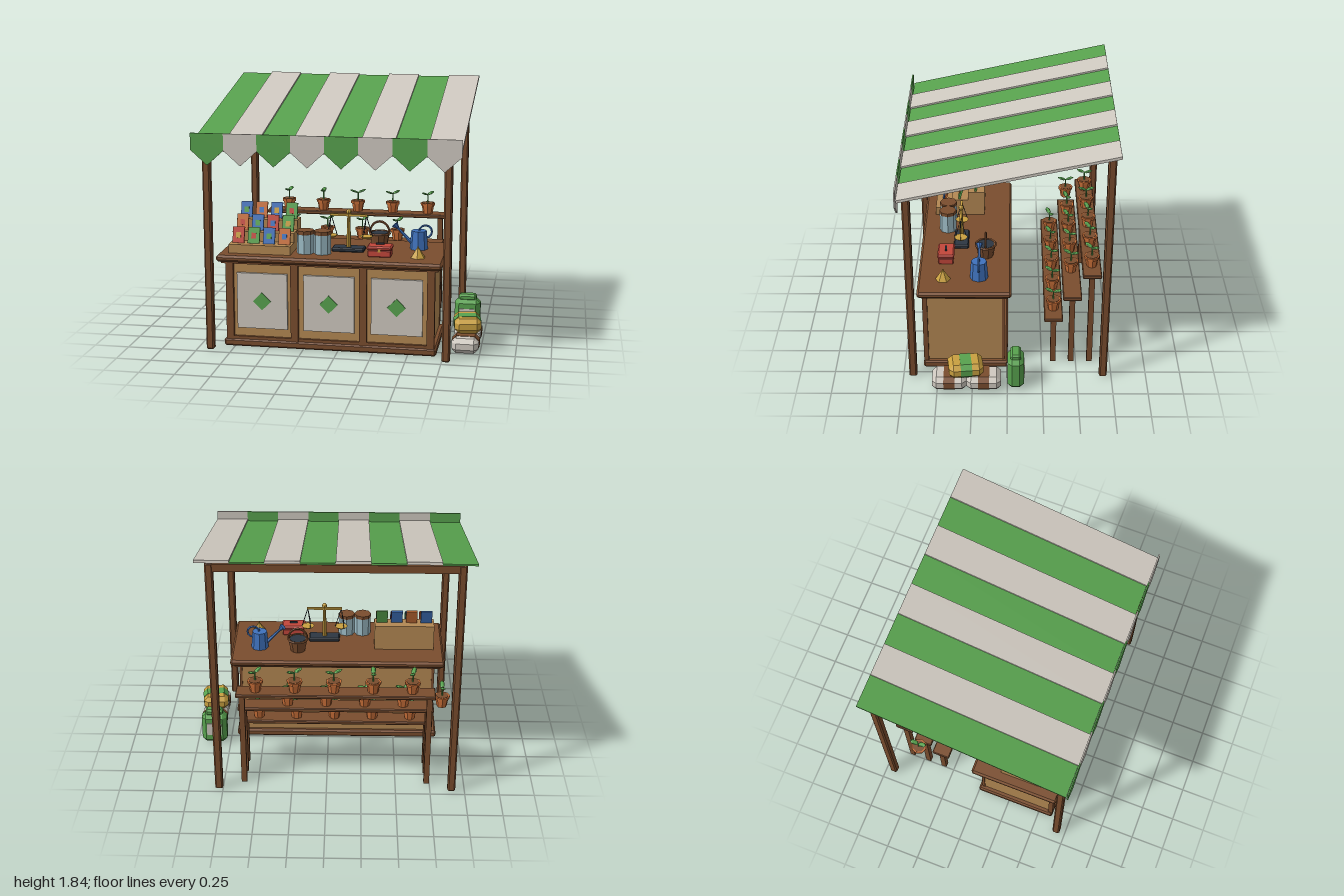
import * as THREE from 'three';
import { ConvexGeometry } from 'three/addons/geometries/ConvexGeometry.js';

const mat = (name, color, side = THREE.FrontSide) => {
  const m = new THREE.MeshStandardMaterial({ color, side, flatShading: true });
  m.name = name;
  return m;
};

export function createModel() {
  const green = mat('leaf green', 0x58a24e), cream = mat('cream canvas', 0xcfc9c0);
  const brown = mat('dark timber', 0x7a4d2e), wood = mat('light wood', 0xb38853);
  const clay = mat('terracotta', 0xc96f38), blue = mat('blue', 0x3f72bd);
  const red = mat('red', 0xc2473b), gold = mat('gold', 0xc9a040);
  const glass = mat('pale jar glass', 0x9bbac4), slate = mat('slate', 0x2d3742);

  const root = new THREE.Group();
  root.name = 'gardenStall';
  const group = (name, x = 0, y = 0, z = 0, parent = root) => {
    const g = new THREE.Group();
    g.name = name;
    g.position.set(x, y, z);
    parent.add(g);
    return g;
  };
  const add = (name, geo, m, x, y, z, parent = root) => {
    const o = new THREE.Mesh(geo, m);
    o.name = name;
    o.position.set(x, y, z);
    parent.add(o);
    return o;
  };
  const box = (name, w, h, d, m, x, y, z, parent) => add(name, new THREE.BoxGeometry(w, h, d), m, x, y, z, parent);
  const cyl = (name, rt, rb, h, n, m, x, y, z, parent) => add(name, new THREE.CylinderGeometry(rt, rb, h, n), m, x, y, z, parent);
  // Box with every edge cut off by c
  const bevel = (w, h, d, c) => {
    const half = [w / 2, h / 2, d / 2], pts = [];
    for (const sx of [-1, 1]) for (const sy of [-1, 1]) for (const sz of [-1, 1])
      for (let k = 0; k < 3; k++) {
        const p = half.map((v, i) => (i === k ? v : v - c));
        pts.push(new THREE.Vector3(p[0] * sx, p[1] * sy, p[2] * sz));
      }
    return new ConvexGeometry(pts);
  };
  const bev = (name, w, h, d, c, m, x, y, z, parent) => add(name, bevel(w, h, d, c), m, x, y, z, parent);
  // Straight bar between two points
  const rod = (name, a, b, r1, r2, m, parent, n = 6) => {
    const A = new THREE.Vector3(...a), B = new THREE.Vector3(...b), dir = B.clone().sub(A);
    const mid = A.clone().add(B).multiplyScalar(0.5);
    const o = cyl(name, r2, r1, dir.length(), n, m, mid.x, mid.y, mid.z, parent);
    o.quaternion.setFromUnitVectors(new THREE.Vector3(0, 1, 0), dir.normalize());
    return o;
  };
  const CX = -0.063;

  // Posts and beams
  for (const s of [-1, 1]) {
    bev('frontPost', 0.056, 1.49, 0.056, 0.01, brown, CX + s * 0.842, 0.745, 0.68);
    bev('backPost', 0.056, 1.8, 0.056, 0.01, brown, CX + s * 0.842, 0.9, -0.69);
  }
  box('frontBeam', 1.7, 0.055, 0.05, brown, CX, 1.463, 0.68);
  box('backBeam', 1.7, 0.055, 0.05, brown, CX, 1.768, -0.69);

  // Striped awning with pointed valance
  const awning = group('awning', 0, 1.66, -0.005);
  awning.rotation.x = 0.2195;
  const W = 1.873 / 8;
  const flap = new THREE.Shape([[-W / 2, 1.568], [-W / 2, 1.45], [0, 1.345], [W / 2, 1.45], [W / 2, 1.568]].map(p => new THREE.Vector2(...p)));
  const flapGeo = new THREE.ExtrudeGeometry(flap, { depth: 0.01, bevelEnabled: false });
  for (let i = 0; i < 8; i++) {
    const x = -1 + W * (i + 0.5), odd = i % 2;
    box('awningStripe', W, odd ? 0.02 : 0.012, 1.517, odd ? cream : green, x, odd ? 0.002 : -0.006, 0, awning);
    add('valanceFlap', flapGeo, odd ? cream : green, x, 0, 0.74);
  }

  // Counter
  bev('counterPlinth', 1.53, 0.055, 0.61, 0.012, brown, CX, 0.03, 0.303);
  box('counterBody', 1.46, 0.58, 0.55, wood, CX, 0.34, 0.303);
  box('topTrim', 1.55, 0.02, 0.61, brown, CX - 0.003, 0.625, 0.303);
  bev('counterTop', 1.61, 0.047, 0.67, 0.015, brown, -0.067, 0.655, 0.305);
  box('bottomRail', 1.48, 0.025, 0.02, brown, CX, 0.065, 0.588);
  for (const x of [-0.781, -0.311, 0.181, 0.661]) box('counterUpright', 0.054, 0.575, 0.035, brown, x, 0.342, 0.588);
  for (const s of [-1, 1]) box('backUpright', 0.02, 0.575, 0.02, brown, CX + s * 0.726, 0.342, 0.03);
  for (let i = -1; i <= 1; i++) {
    const x = CX + i * 0.483;
    box('creamPanel', 0.365, 0.407, 0.02, cream, x, 0.344, 0.587);
    box('diamond', 0.092, 0.092, 0.009, green, x, 0.344, 0.601).rotation.z = Math.PI / 4;
  }

  // Stepped rack of seed packets
  const rows = [[red, green, blue, clay], [clay, blue, red, green], [blue, clay, blue, green]];
  const labels = [gold, red, green, blue];
  rows.forEach((row, r) => {
    const top = 0.742 + r * 0.067, front = 0.555 - r * 0.125;
    box('rackStep', 0.45, top - 0.675, front - 0.18, wood, -0.572, (top + 0.675) / 2, (front + 0.18) / 2);
    row.forEach((m, c) => {
      const p = group('seedPacket', -0.738 + c * 0.112, top, 0.5 - r * 0.125);
      p.rotation.x = -0.3;
      box('packet', 0.085, 0.117, 0.014, m, 0, 0.058, 0, p);
      const label = labels[(c + r) % 4];
      box('packetLabel', 0.034, 0.04, 0.006, label === m ? clay : label, 0, 0.055, 0.008, p);
    });
  });

  // Jars
  for (const x of [-0.257, -0.133]) {
    cyl('jar', 0.062, 0.062, 0.14, 8, glass, x, 0.748, 0.452);
    cyl('jarLid', 0.064, 0.064, 0.026, 8, brown, x, 0.832, 0.452);
  }

  // Balance scale
  const scale = group('balanceScale', 0.037, 0.678, 0.343);
  bev('scaleBase', 0.235, 0.03, 0.11, 0.008, slate, 0, 0.015, 0, scale);
  cyl('scalePillar', 0.01, 0.018, 0.25, 8, gold, 0, 0.15, 0, scale);
  add('scaleKnob', new THREE.SphereGeometry(0.02, 8, 6), gold, 0, 0.287, 0, scale);
  box('scaleBeam', 0.27, 0.016, 0.016, gold, 0, 0.262, 0, scale);
  for (const s of [-1, 1]) {
    const x = s * 0.128;
    cyl('scalePan', 0.05, 0.03, 0.016, 8, gold, x, 0.105, 0, scale);
    for (let k = 0; k < 3; k++) {
      const a = k * Math.PI * 2 / 3;
      rod('panCord', [x, 0.26, 0], [x + 0.045 * Math.cos(a), 0.11, 0.045 * Math.sin(a)], 0.003, 0.003, slate, scale, 4);
    }
  }

  // Basket
  const basket = group('basket', 0.235, 0.678, 0.16);
  cyl('basketBody', 0.075, 0.055, 0.095, 10, brown, 0, 0.048, 0, basket);
  cyl('basketFilling', 0.062, 0.062, 0.006, 10, slate, 0, 0.096, 0, basket);
  add('basketRim', new THREE.TorusGeometry(0.074, 0.009, 5, 10), brown, 0, 0.095, 0, basket).rotation.x = Math.PI / 2;
  const handle = add('basketHandle', new THREE.TorusGeometry(0.072, 0.008, 5, 10, Math.PI), brown, 0, 0.095, 0, basket);
  handle.scale.y = 1.2;

  // Red toolbox
  const tool = group('toolbox', 0.28, 0.678, 0.448);
  bev('toolboxBody', 0.165, 0.05, 0.11, 0.006, red, 0, 0.025, 0, tool);
  bev('toolboxLid', 0.178, 0.03, 0.122, 0.01, red, 0, 0.063, 0, tool);
  box('toolboxGrip', 0.06, 0.012, 0.014, slate, 0, 0.088, 0, tool);
  box('toolboxLatch', 0.022, 0.022, 0.006, gold, 0, 0.05, 0.06, tool);

  // Brass cone
  cyl('brassCone', 0.012, 0.055, 0.065, 6, gold, 0.55, 0.711, 0.46);
  cyl('brassConeTip', 0.004, 0.008, 0.02, 6, gold, 0.55, 0.75, 0.46);

  // Watering can
  const can = group('wateringCan', 0.527, 0.678, 0.203);
  cyl('canBody', 0.056, 0.066, 0.135, 8, blue, 0, 0.068, 0, can);
  rod('canSpout', [-0.05, 0.04, 0], [-0.155, 0.15, 0], 0.014, 0.009, blue, can);
  rod('canRose', [-0.15, 0.145, 0], [-0.178, 0.175, 0], 0.009, 0.027, blue, can, 8);
  add('canHandle', new THREE.TorusGeometry(0.045, 0.008, 5, 12), blue, 0.048, 0.13, 0, can);

  // Tiered plant stands with potted seedlings
  const leafGeo = new THREE.SphereGeometry(1, 6, 4);
  leafGeo.scale(0.036, 0.008, 0.02);
  const plant = (x, y, z, turn) => {
    const p = group('pottedSeedling', x, y, z);
    p.rotation.y = turn;
    cyl('pot', 0.05, 0.037, 0.075, 8, clay, 0, 0.037, 0, p);
    cyl('potRim', 0.057, 0.055, 0.02, 8, clay, 0, 0.073, 0, p);
    cyl('soil', 0.046, 0.046, 0.004, 8, brown, 0, 0.084, 0, p);
    rod('stem', [0, 0.08, 0], [0, 0.15, 0], 0.006, 0.005, green, p, 5);
    for (const s of [-1, 1])
      add('leaf', leafGeo, green, s * 0.03, 0.157, 0, p).rotation.z = s * 0.35;
  };
  [[0.39, -0.333, 0], [0.577, -0.465, -0.22], [0.765, -0.6, 0]].forEach(([y, z, shift], r) => {
    bev('plantShelf', 1.41, 0.028, 0.135, 0.006, brown, CX, y - 0.014, z);
    for (const s of [-1, 1]) box('shelfLeg', 0.04, y - 0.02, 0.04, brown, CX + s * 0.665, (y - 0.02) / 2, z);
    for (let i = 0; i < 5; i++) plant(-0.605 + i * 0.277 + shift, y, z, 0.35 + ((i * 7 + r * 5) % 6) * 0.25);
  });

  // Sacks beside the counter
  const sack = (name, x, y, z, m, band) => {
    const g = group(name, x, y, z);
    bev('sack', 0.19, 0.108, 0.245, 0.032, m, 0, 0, 0, g);
    bev('sackBand', 0.196, 0.114, 0.08, 0.032, band, 0, 0, 0, g).geometry = new ConvexGeometry(
      [-0.04, 0.04].flatMap(zz => [[0.098, 0.024], [0.065, 0.057]].flatMap(([a, b]) =>
        [[a, b], [-a, b], [a, -b], [-a, -b]].map(([u, v]) => new THREE.Vector3(u, v, zz)))));
    return g;
  };
  sack('creamSack', 0.895, 0.06, 0.413, cream, brown);
  sack('creamSack', 0.895, 0.06, 0.168, cream, brown);
  sack('goldSack', 0.895, 0.17, 0.297, gold, green).rotation.y = 0.12;
  bev('greenSack', 0.19, 0.245, 0.118, 0.032, green, 0.87, 0.128, -0.06);
  bev('greenSackTop', 0.13, 0.05, 0.075, 0.014, green, 0.87, 0.258, -0.06);
  for (const s of [-1, 1]) box('greenSackLabel', 0.11, 0.1, 0.008, cream, 0.87, 0.13, -0.06 + s * 0.06);

  return root;
}
